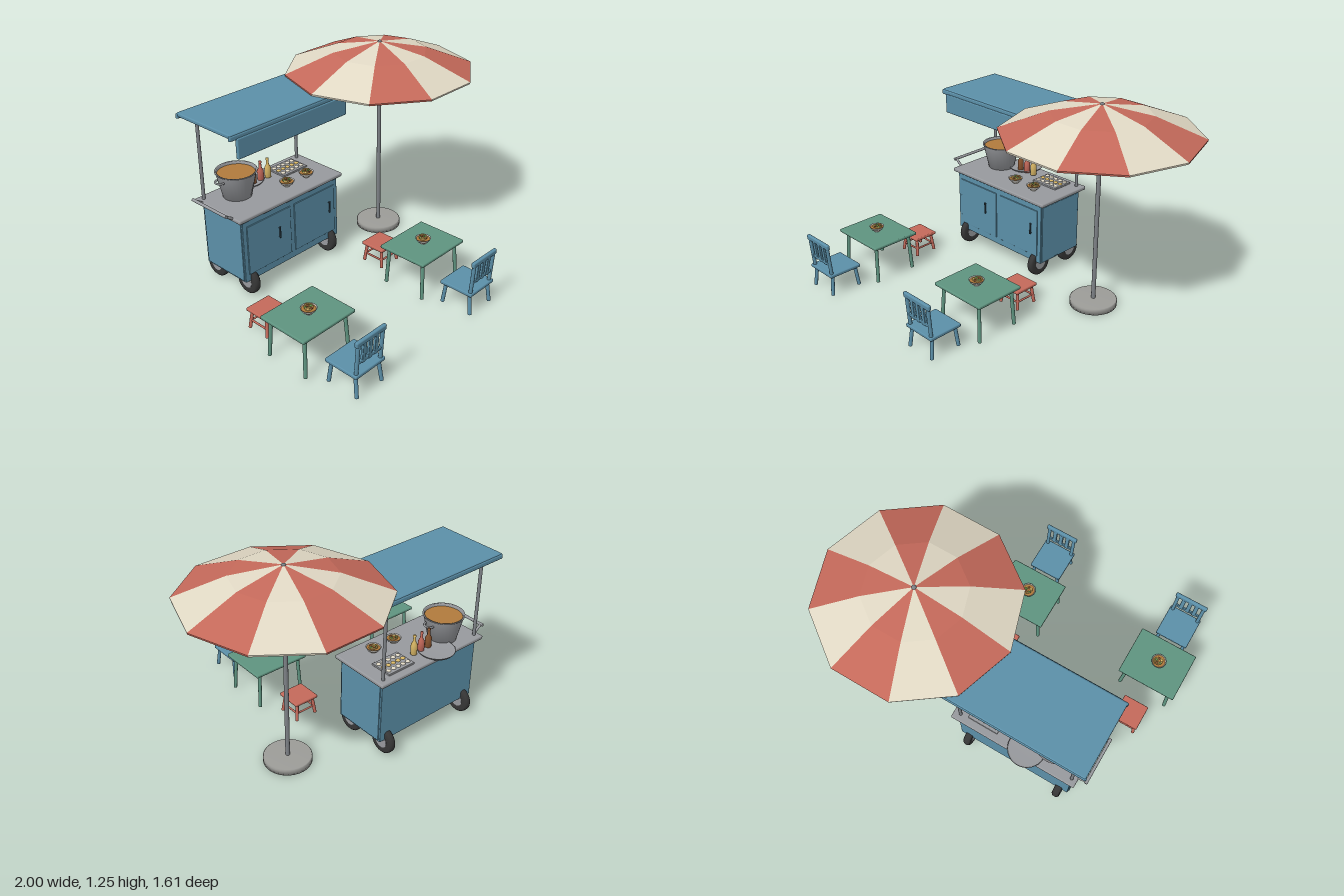
import * as THREE from 'three';
import { RoundedBoxGeometry } from 'three/addons/geometries/RoundedBoxGeometry.js';

const mat = (color) => new THREE.MeshStandardMaterial({ color });
const blue = mat(0x5b8fa8), red = mat(0xc4695a), cream = mat(0xe0d8c4), green = mat(0x5f9480);
const metal = mat(0x97999d), pole = mat(0x7d8186), tyre = mat(0x363636), dark = mat(0x30434d);
const broth = mat(0xb07a3c), china = mat(0xc9c6bf), noodle = mat(0xdcb763), brown = mat(0x8a5530);
const herb = mat(0x5f8f45), stone = mat(0x9c9c98), yellow = mat(0xd9b765);

function add(parent, name, geometry, material, x = 0, y = 0, z = 0) {
  const m = new THREE.Mesh(geometry, material);
  m.name = name;
  m.position.set(x, y, z);
  parent.add(m);
  return m;
}

// Softly rounded box given by its min and max on each axis
function block(parent, name, material, [x0, x1], [y0, y1], [z0, z1], r = 0.004) {
  const g = new RoundedBoxGeometry(x1 - x0, y1 - y0, z1 - z0, 2, r);
  return add(parent, name, g, material, (x0 + x1) / 2, (y0 + y1) / 2, (z0 + z1) / 2);
}

// Round bar between two points
function rod(parent, name, material, a, b, r, r2 = r) {
  const p = new THREE.Vector3(...a), q = new THREE.Vector3(...b);
  const d = q.clone().sub(p);
  const m = add(parent, name, new THREE.CylinderGeometry(r2, r, d.length(), 12), material);
  m.position.copy(p).add(q).multiplyScalar(0.5);
  m.quaternion.setFromUnitVectors(new THREE.Vector3(0, 1, 0), d.normalize());
  return m;
}

function lathe(parent, name, material, points, x, y, z, n = 24) {
  const g = new THREE.LatheGeometry(points.map((p) => new THREE.Vector2(...p)), n);
  const m = material.clone();
  m.side = THREE.DoubleSide;
  return add(parent, name, g, m, x, y, z);
}

function group(parent, name, x = 0, y = 0, z = 0) {
  const g = new THREE.Group();
  g.name = name;
  g.position.set(x, y, z);
  parent.add(g);
  return g;
}

// Four splayed legs
function legs(parent, material, height, tx, tz, bx, bz, r) {
  for (const sx of [-1, 1]) for (const sz of [-1, 1])
    rod(parent, 'leg', material, [sx * bx, 0.003, sz * bz], [sx * tx, height, sz * tz], r);
}

// Noodle bowl with toppings
function bowl(parent, x, y, z) {
  const b = group(parent, 'noodleBowl', x, y, z);
  lathe(b, 'bowl', china, [[0, 0], [0.02, 0], [0.021, 0.007], [0.036, 0.018], [0.045, 0.034], [0.042, 0.034], [0.034, 0.022], [0, 0.015]], 0, 0, 0);
  add(b, 'soup', new THREE.CylinderGeometry(0.039, 0.036, 0.004, 20), broth, 0, 0.027, 0);
  for (let i = 0; i < 3; i++) {
    const t = add(b, 'noodles', new THREE.TorusGeometry(0.014 + i * 0.004, 0.004, 6, 16), noodle, 0.006 * (i - 1), 0.032 + i * 0.002, 0.005 * (1 - i));
    t.rotation.x = Math.PI / 2 + 0.15 * (i - 1);
  }
  for (let i = 0; i < 5; i++) {
    const a = i * 1.257;
    const s = add(b, 'topping', new THREE.SphereGeometry(0.008, 8, 6), [herb, brown, yellow][i % 3], 0.017 * Math.cos(a), 0.036, 0.017 * Math.sin(a));
    s.scale.y = 0.7;
  }
}

function cart(root) {
  const c = group(root, 'foodCart');
  const cx = -0.352;
  block(c, 'cabinet', blue, [-0.72, 0.016], [0.105, 0.505], [-0.582, -0.242]);
  block(c, 'counter', metal, [-0.75, 0.045], [0.5, 0.524], [-0.613, -0.222], 0.008);
  // Doors, handles and end panels
  for (const s of [-1, 1]) {
    const d = cx + s * 0.178;
    block(c, 'door', blue, [d - 0.163, d + 0.163], [0.15, 0.458], [-0.246, -0.236], 0.003);
    const hx = s < 0 ? -0.46 : -0.06;
    rod(c, 'doorHandle', dark, [hx, 0.293, -0.228], [hx, 0.365, -0.228], 0.005);
    for (const y of [0.3, 0.358]) rod(c, 'handleStud', dark, [hx, y, -0.238], [hx, y, -0.228], 0.004);
    const e = cx + s * 0.368;
    block(c, 'endPanel', blue, [e - 0.005, e + 0.005], [0.115, 0.485], [-0.57, -0.252], 0.003);
    // Wheels
    for (const z of [-0.285, -0.553]) {
      const w = group(c, 'wheel', cx + s * 0.31, 0.082, z);
      w.rotation.z = Math.PI / 2;
      lathe(w, 'tyre', tyre, [[0.04, -0.02], [0.07, -0.023], [0.08, -0.014], [0.082, 0], [0.08, 0.014], [0.07, 0.023], [0.04, 0.02]], 0, 0, 0, 32);
      add(w, 'hub', new THREE.CylinderGeometry(0.042, 0.042, 0.044, 24), metal);
    }
    // Roof posts
    const px = s < 0 ? -0.717 : 0.003;
    rod(c, 'roofPost', pole, [px, 0.52, -0.572], [px, 1.035, -0.572], 0.01);
  }
  // Push handle
  for (const z of [-0.55, -0.29]) rod(c, 'pushArm', metal, [-0.74, 0.512, z], [-0.797, 0.553, z], 0.008);
  rod(c, 'pushBar', metal, [-0.797, 0.553, -0.565], [-0.797, 0.553, -0.275], 0.009);
  // Roof and sign board
  block(c, 'roof', blue, [-0.795, 0.085], [1.033, 1.058], [-0.643, -0.195], 0.008);
  for (const z of [-0.638, -0.2]) block(c, 'roofTrim', blue, [-0.8, 0.09], [1.022, 1.052], [z - 0.01, z + 0.01], 0.008);
  block(c, 'signBoard', blue, [-0.757, 0.045], [0.912, 1.03], [-0.204, -0.182], 0.006);

  // Broth pot
  const pot = group(c, 'brothPot', -0.556, 0.524, -0.47);
  lathe(pot, 'pot', metal, [[0, 0], [0.083, 0], [0.116, 0.15], [0.121, 0.153], [0.121, 0.158], [0.111, 0.156], [0.106, 0.12]], 0, 0, 0, 32);
  add(pot, 'broth', new THREE.CylinderGeometry(0.11, 0.106, 0.01, 32), broth, 0, 0.137, 0);
  for (const s of [-1, 1]) {
    const t = add(pot, 'potHandle', new THREE.TorusGeometry(0.03, 0.006, 8, 16, Math.PI), metal, s * 0.113, 0.125, 0);
    t.rotation.set(-Math.PI / 2, 0, s > 0 ? -Math.PI / 2 : Math.PI / 2);
  }
  // Round tray and sauce bottles
  lathe(c, 'roundTray', metal, [[0, 0], [0.1, 0], [0.109, 0.012], [0.105, 0.012], [0.098, 0.006], [0, 0.006]], -0.42, 0.528, -0.557, 32);
  [[-0.41, brown], [-0.353, red], [-0.297, yellow]].forEach(([x, m]) => {
    lathe(c, 'sauceBottle', m, [[0, 0], [0.019, 0], [0.019, 0.062], [0.009, 0.082], [0.007, 0.11], [0.009, 0.112], [0.009, 0.122], [0, 0.122]], x, 0.53, -0.5, 16);
  });
  // Ingredient tray
  block(c, 'ingredientTray', metal, [-0.235, -0.045], [0.524, 0.536], [-0.57, -0.43], 0.003);
  for (let i = 0; i < 5; i++) for (let j = 0; j < 3; j++) {
    const b = add(c, 'ingredient', new THREE.SphereGeometry(0.014, 10, 6), j === 1 ? yellow : cream, -0.212 + i * 0.036, 0.536, -0.54 + j * 0.04);
    b.scale.y = 0.6;
  }
  bowl(c, -0.295, 0.526, -0.338);
  bowl(c, -0.14, 0.526, -0.338);
}

// Ten-sided parasol with alternating panels
function parasol(root) {
  const u = group(root, 'parasol', 0.425, 0, -0.267);
  lathe(u, 'base', stone, [[0, 0], [0.14, 0], [0.14, 0.03], [0.134, 0.036], [0, 0.036]], 0, 0, 0, 32);
  rod(u, 'pole', pole, [0, 0.03, 0], [0, 1.235, 0], 0.013);
  add(u, 'finial', new THREE.SphereGeometry(0.014, 12, 8), pole, 0, 1.233, 0);
  const rings = [[0, 1.24], [0.285, 1.185], [0.572, 1.07], [0.57, 1.06]];
  const step = Math.PI / 5;
  for (let i = 0; i < 10; i++) {
    const pos = [], at = (k, a) => [rings[k][0] * Math.cos(a), rings[k][1], -rings[k][0] * Math.sin(a)];
    const a = i * step, b = a + step;
    for (let k = 0; k < 3; k++) {
      pos.push(...at(k, a), ...at(k + 1, a), ...at(k + 1, b));
      if (k) pos.push(...at(k, a), ...at(k + 1, b), ...at(k, b));
    }
    const g = new THREE.BufferGeometry();
    g.setAttribute('position', new THREE.Float32BufferAttribute(pos, 3));
    g.computeVertexNormals();
    const m = (i % 2 ? cream : red).clone();
    m.side = THREE.DoubleSide;
    add(u, 'canopyPanel', g, m);
    // Ribs below the seams
    for (let k = 0; k < 2; k++) {
      const p = at(k, a), q = at(k + 1, a);
      p[1] -= 0.006; q[1] -= 0.006;
      rod(u, 'rib', pole, p, q.map((v, n) => (n === 1 ? v : v * 0.99)), 0.003);
    }
  }
}

function diningSet(root, x) {
  // Table
  const t = group(root, 'table', x, 0, 0.359);
  block(t, 'tableTop', green, [-0.185, 0.185], [0.233, 0.252], [-0.158, 0.158], 0.006);
  legs(t, green, 0.235, 0.143, 0.122, 0.156, 0.133, 0.011);
  bowl(t, 0, 0.252, 0.006);
  // Stool
  const s = group(root, 'stool', x, 0, 0.042);
  block(s, 'stoolSeat', red, [-0.081, 0.081], [0.111, 0.13], [-0.081, 0.081], 0.006);
  legs(s, red, 0.113, 0.056, 0.056, 0.069, 0.069, 0.01);
  for (const k of [-1, 1]) {
    rod(s, 'rung', red, [-0.063, 0.05, k * 0.063], [0.063, 0.05, k * 0.063], 0.006);
    rod(s, 'rung', red, [k * 0.063, 0.05, -0.063], [k * 0.063, 0.05, 0.063], 0.006);
  }
  // Chair, its back away from the table
  const c = group(root, 'chair', x, 0, 0.685);
  block(c, 'chairSeat', blue, [-0.106, 0.106], [0.124, 0.145], [-0.106, 0.106], 0.006);
  legs(c, blue, 0.126, 0.082, 0.08, 0.091, 0.095, 0.011);
  const back = group(c, 'chairBack', 0, 0.135, 0.088);
  back.rotation.x = 0.08;
  for (const k of [-1, 1]) rod(back, 'backPost', blue, [k * 0.087, 0, 0], [k * 0.087, 0.2, 0], 0.011);
  block(back, 'topRail', blue, [-0.106, 0.106], [0.18, 0.213], [-0.011, 0.011], 0.008);
  block(back, 'lowerRail', blue, [-0.087, 0.087], [0.066, 0.086], [-0.007, 0.007]);
  for (const k of [-1, 0, 1]) block(back, 'slat', blue, [k * 0.044 - 0.013, k * 0.044 + 0.013], [0.062, 0.19], [-0.008, 0.008]);
}

export function createModel() {
  const root = new THREE.Group();
  root.name = 'streetFoodStall';
  cart(root);
  parasol(root);
  for (const x of [-0.815, 0.101]) diningSet(root, x);
  return root;
}
